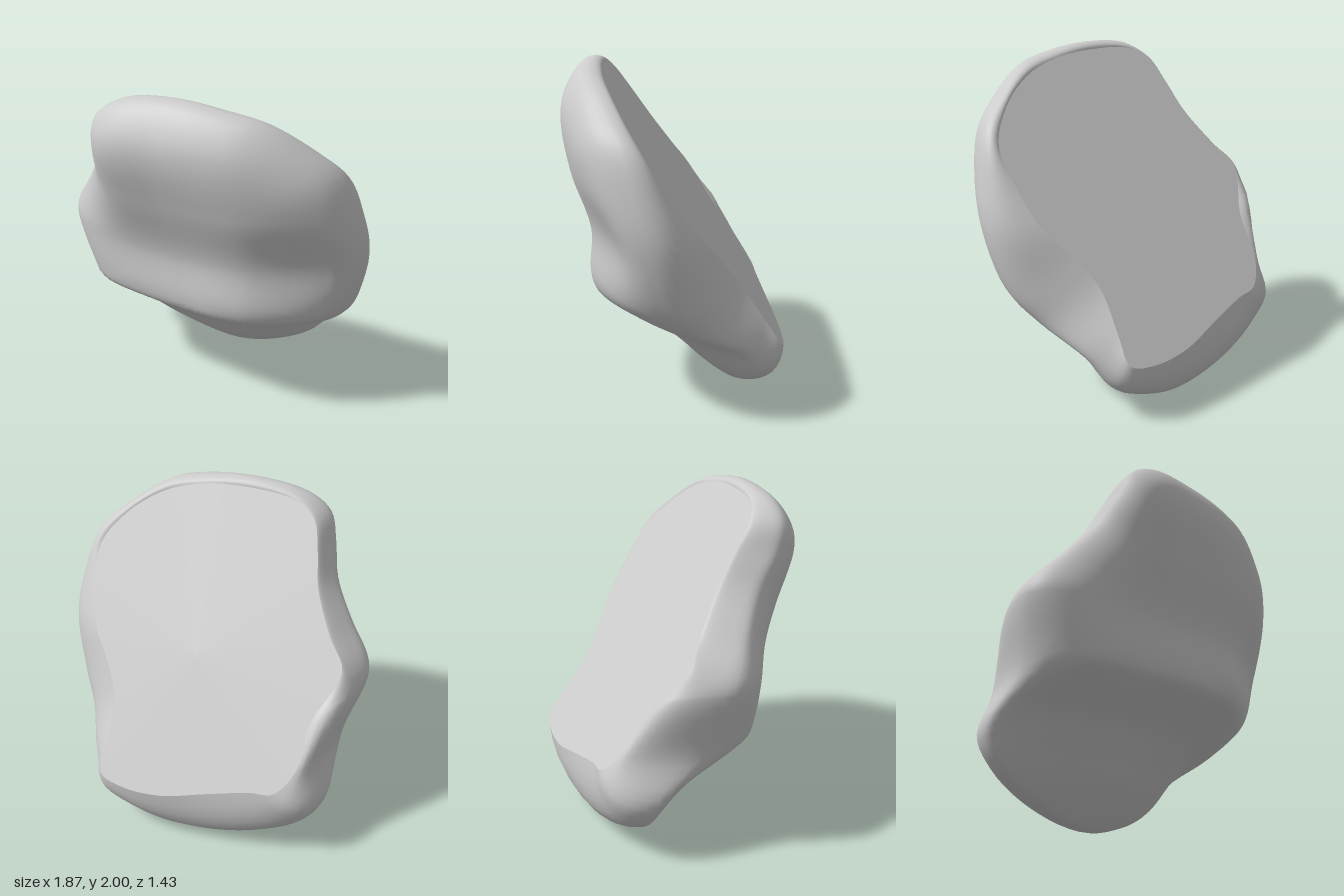
import * as THREE from 'three';

// Flat mounting plane at the back
const planeZ = (x, y) => -0.917 - 0.18 * x + 0.68 * y;

// Widest outline, clockwise from the top: x, y, z, then x, y of the matching flat-back edge
const OUTLINE = [
  [0, 2, .48, 0, 1.96], [.3, 1.97, .43, .27, 1.94], [.5, 1.92, .36, .5, 1.87], [.7, 1.78, .24, .69, 1.73],
  [.85, 1.62, .12, .8, 1.55], [.92, 1.35, .03, .76, 1.34], [.93, 1.08, -.05, .68, 1.14], [.83, .72, -.14, .52, .95],
  [.7, .55, -.25, .41, .78], [.52, .38, -.5, .38, .55], [.4, .2, -.53, .36, .4], [.2, .08, -.46, .2, .357],
  [-.1, 0, -.37, -.05, .37], [-.5, .07, -.29, -.3, .44], [-.8, .22, -.19, -.55, .51], [-.91, .4, -.16, -.7, .54],
  [-.86, .68, .04, -.78, .68], [-.93, 1.05, .21, -.77, .92], [-.9, 1.15, .25, -.85, 1.19], [-.75, 1.33, .33, -.72, 1.34],
  [-.6, 1.53, .41, -.57, 1.55], [-.52, 1.7, .52, -.5, 1.72], [-.45, 1.86, .57, -.42, 1.87], [-.3, 1.96, .54, -.28, 1.94],
];

// Front relief: y, then depth at x = -0.8, -0.4, 0, 0.4, 0.8
const RELIEF = [
  [0, -.18, -.2, -.25, -.34, -.42],
  [.2, -.08, -.05, -.06, -.18, -.34],
  [.35, .01, .05, .04, -.06, -.22],
  [.5, .15, .18, .17, .12, .02],
  [.61, .36, .36, .34, .3, .18],
  [.7, .49, .47, .46, .42, .28],
  [1.05, .5, .5, .47, .41, .22],
  [1.4, .48, .62, .59, .53, .4],
  [1.75, .5, .73, .69, .61, .5],
  [2, .45, .7, .66, .58, .44],
];

// Smooth cubic lookup in a list at a fractional index
function sample(list, f) {
  const n = list.length - 1, i = Math.min(Math.floor(f), n - 1), t = f - i;
  const a = list[Math.max(i - 1, 0)], b = list[i], c = list[i + 1], d = list[Math.min(i + 2, n)];
  return b + 0.5 * t * (c - a + t * (2 * a - 5 * b + 4 * c - d + t * (3 * (b - c) + d - a)));
}

// Depth of the front at x, y: cubic across the columns, then Hermite between the uneven rows
function frontZ(x, y) {
  const col = THREE.MathUtils.clamp((x + 0.8) / 0.4, 0, 4);
  const depth = RELIEF.map(row => sample(row.slice(1), col));
  let r = 0;
  while (r < RELIEF.length - 2 && y > RELIEF[r + 1][0]) r++;
  const y0 = RELIEF[r][0], h = RELIEF[r + 1][0] - y0;
  const t = THREE.MathUtils.clamp((y - y0) / h, 0, 1);
  const slope = i => {
    const lo = Math.max(i - 1, 0), hi = Math.min(i + 1, RELIEF.length - 1);
    return (depth[hi] - depth[lo]) / (RELIEF[hi][0] - RELIEF[lo][0]);
  };
  const t2 = t * t, t3 = t2 * t;
  return (2 * t3 - 3 * t2 + 1) * depth[r] + (3 * t2 - 2 * t3) * depth[r + 1]
    + h * ((t3 - 2 * t2 + t) * slope(r) + (t3 - t2) * slope(r + 1));
}

function buildGeometry(positions, index) {
  const g = new THREE.BufferGeometry();
  g.setAttribute('position', new THREE.Float32BufferAttribute(positions, 3));
  g.setIndex(index);
  g.computeVertexNormals();
  return g;
}

const closedCurve = pts => new THREE.CatmullRomCurve3(pts, true, 'centripetal');

export function createModel() {
  const N = 120, BACK = 8, FRONT = 40, CY = 1;
  const wide = closedCurve(OUTLINE.map(p => new THREE.Vector3(p[0], p[1], p[2])));
  const edge = closedCurve(OUTLINE.map(p => new THREE.Vector3(p[3], p[4], 0)));
  const rim = [], flat = [];
  for (let i = 0; i < N; i++) {
    rim.push(wide.getPoint(i / N));
    const e = edge.getPoint(i / N);
    flat.push(e.setZ(planeZ(e.x, e.y)));
  }

  // Rounded side from the flat back out to the widest outline
  const pos = [], index = [];
  for (let j = 0; j < BACK; j++) {
    const a = (1 - j / BACK) * Math.PI / 2;
    for (let i = 0; i < N; i++) {
      const s = rim[i], p = flat[i], k = Math.pow(1 - Math.cos(a), 1.15), m = Math.sin(a);
      pos.push(s.x + (p.x - s.x) * k, s.y + (p.y - s.y) * k, s.z + (p.z - s.z) * m);
    }
  }
  // Front rings shrinking to the middle, rolling over onto the relief
  for (let j = 0; j < FRONT; j++) {
    const s = 1 - Math.pow(j / FRONT, 1.4);
    const w = Math.sqrt(1 - Math.pow(s, 5));
    for (let i = 0; i < N; i++) {
      const x = rim[i].x * s, y = CY + (rim[i].y - CY) * s;
      pos.push(x, y, THREE.MathUtils.lerp(rim[i].z, frontZ(x, y), w));
    }
  }
  pos.push(0, CY, frontZ(0, CY));
  const rings = BACK + FRONT;
  for (let j = 0; j < rings; j++) {
    for (let i = 0; i < N; i++) {
      const a = j * N + i, b = j * N + (i + 1) % N;
      if (j === rings - 1) index.push(a, rings * N, b);
      else index.push(a, a + N, b, b, a + N, b + N);
    }
  }

  // Flat back as a fan
  const backPos = [0, 1.1, planeZ(0, 1.1)], backIndex = [];
  flat.forEach((p, i) => {
    backPos.push(p.x, p.y, p.z);
    backIndex.push(0, 1 + i, 1 + (i + 1) % N);
  });

  const material = new THREE.MeshStandardMaterial({ color: 0xcccccc });
  const group = new THREE.Group();
  group.name = 'climbingHold';
  const body = new THREE.Mesh(buildGeometry(pos, index), material);
  body.name = 'rockBody';
  const back = new THREE.Mesh(buildGeometry(backPos, backIndex), material);
  back.name = 'flatBack';
  group.add(body, back);
  return group;
}
